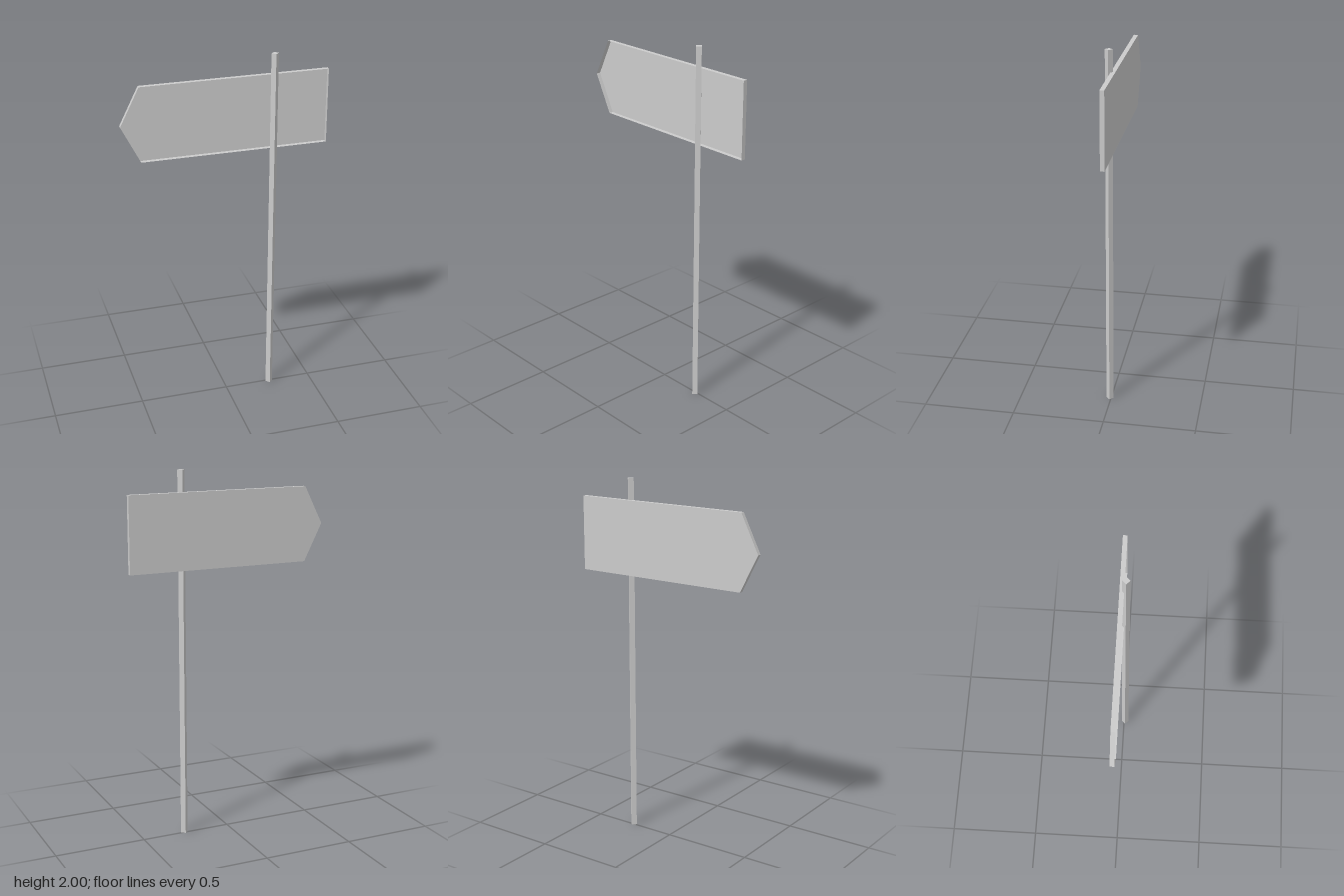
import * as THREE from 'three';

const BOARD_BACK = -0.0265;
const BOARD_FRONT = -0.003;

// Thin sheet tray: closed back, folded edges, open front
function trayGeometry(outline, zBack, zFront) {
  const pos = [];
  const put = (p, z) => pos.push(p[0], p[1], z);
  const n = outline.length;
  for (let i = 0; i < n; i++) {
    const a = outline[i], b = outline[(i + 1) % n];
    // folded edge, facing outwards
    put(a, zBack); put(b, zBack); put(b, zFront);
    put(a, zBack); put(b, zFront); put(a, zFront);
    // back panel as a fan, facing -z
    if (i > 0 && i < n - 1) {
      put(outline[0], zBack); put(b, zBack); put(a, zBack);
    }
  }
  const geo = new THREE.BufferGeometry();
  geo.setAttribute('position', new THREE.Float32BufferAttribute(pos, 3));
  geo.computeVertexNormals();
  return geo;
}

export function createModel() {
  const model = new THREE.Group();
  model.name = 'directionSign';

  // Square post, turned corner-first
  const post = new THREE.Mesh(
    new THREE.CylinderGeometry(0.02, 0.02, 2, 4),
    new THREE.MeshStandardMaterial({ color: 0xcccccc, flatShading: true })
  );
  post.name = 'post';
  post.position.set(0.258, 1, 0.0065);
  model.add(post);

  // Arrow-shaped board, counter-clockwise outline
  const outline = [
    [-0.559, 1.68], [-0.456, 1.476], [0.559, 1.476], [0.559, 1.885], [-0.456, 1.885],
  ];
  const board = new THREE.Mesh(
    trayGeometry(outline, BOARD_BACK, BOARD_FRONT),
    new THREE.MeshStandardMaterial({ color: 0xcccccc, flatShading: true, side: THREE.DoubleSide })
  );
  board.name = 'arrowBoard';
  model.add(board);

  return model;
}
